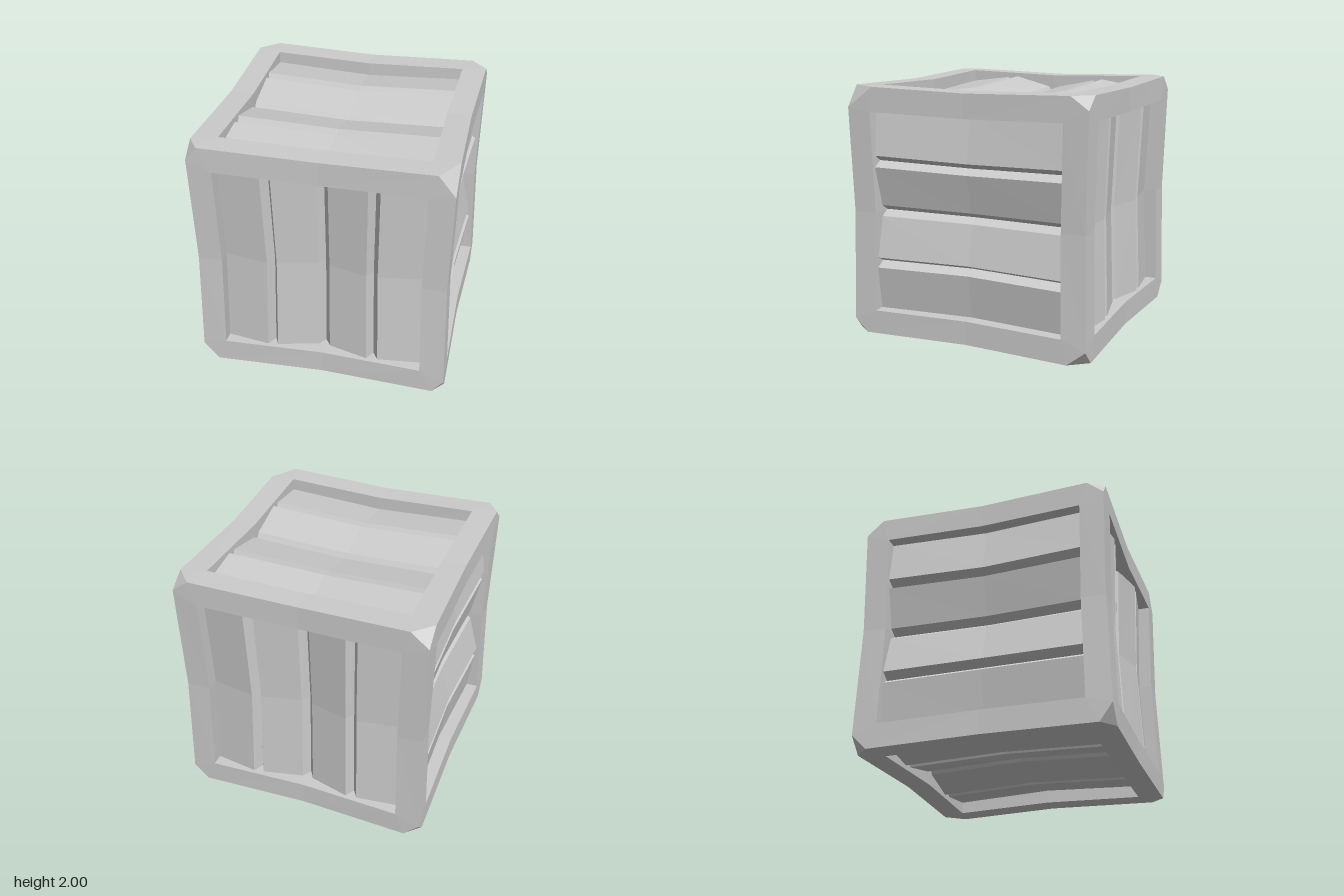
import * as THREE from 'three';

const material = new THREE.MeshStandardMaterial({ color: 0xcccccc, flatShading: true });
const RIM = 0.805, FLOOR = 0.76;

// Each side: outward axis n, across-plank axis u, along-plank axis v (u x v = n)
const SIDES = [
  { name: 'front', n: [0, 0, 1], u: [1, 0, 0], v: [0, 1, 0] },
  { name: 'back', n: [0, 0, -1], u: [-1, 0, 0], v: [0, 1, 0] },
  { name: 'left', n: [1, 0, 0], u: [0, 1, 0], v: [0, 0, 1] },
  { name: 'right', n: [-1, 0, 0], u: [0, -1, 0], v: [0, 0, 1] },
  { name: 'top', n: [0, 1, 0], u: [0, 0, 1], v: [1, 0, 0] },
  { name: 'bottom', n: [0, -1, 0], u: [1, 0, 0], v: [0, 0, 1] },
];

// Chipped corner sizes along x, y and z, keyed by corner signs
const CHIPS = {
  '1,1,1': [0.13, 0.165, 0.22], '-1,1,1': [0.09, 0.11, 0.13],
  '1,-1,1': [0.09, 0.11, 0.11], '-1,-1,1': [0.12, 0.14, 0.1],
  '1,1,-1': [0.13, 0.1, 0.14], '-1,1,-1': [0.14, 0.12, 0.14],
  '1,-1,-1': [0.12, 0.12, 0.15], '-1,-1,-1': [0.12, 0.12, 0.12],
};

// Plank cross-sections: [across, depth below the frame], bevels included
const PLANKS = [
  [[-0.83, 0.1], [-0.455, 0.04], [-0.41, 0.12]],
  [[-0.41, 0.12], [-0.375, 0.05], [-0.045, 0.12], [0, 0.19]],
  [[0, 0.19], [0.045, 0.12], [0.365, 0.04], [0.41, 0.12]],
  [[0.41, 0.12], [0.455, 0.05], [0.83, 0.1]],
];

const place = (s, a, b, c) => [0, 1, 2].map((i) => s.u[i] * a + s.v[i] * b + s.n[i] * c);

// The crate is pinched inwards halfway along every edge
const pinch = (p) => {
  const m = Math.min(...p.map(Math.abs));
  const k = 1 - 0.02 * (1 - Math.min(1, m / 0.8));
  return p.map((c) => c * k);
};

function makeMesh(name, polygons) {
  const pos = [];
  for (const p of polygons) {
    for (let i = 1; i < p.length - 1; i++) pos.push(...p[0], ...p[i], ...p[i + 1]);
  }
  const geometry = new THREE.BufferGeometry();
  geometry.setAttribute('position', new THREE.Float32BufferAttribute(pos, 3));
  geometry.computeVertexNormals();
  const mesh = new THREE.Mesh(geometry, material);
  mesh.name = name;
  return mesh;
}

// Point where a chip cuts the edge that leaves the corner along the given axis
function chipPoint(corner, axis) {
  const p = corner.slice();
  p[axis] *= 1 - CHIPS[corner.join(',')][axis];
  return p;
}

function makeFrame(s) {
  const polygons = [];
  const loop = [[-1, -1], [1, -1], [1, 1], [-1, 1]];
  const at = (a, b, c) => pinch(place(s, a, b, c));
  for (let i = 0; i < 4; i++) {
    const [p, q, r] = [0, 1, 2].map((k) => loop[(i + k) % 4]);
    const mid = [(p[0] + q[0]) / 2, (p[1] + q[1]) / 2];
    const [P, Q, R] = [p, q, r].map((c) => place(s, c[0], c[1], 1));
    const axis = P.findIndex((c, k) => c !== Q[k]);
    const nextAxis = Q.findIndex((c, k) => c !== R[k]);
    const a = chipPoint(P, axis), b = chipPoint(Q, axis), next = chipPoint(Q, nextAxis);
    const m = at(mid[0], mid[1], 1);
    const [rp, rm, rq] = [p, mid, q].map((c) => at(c[0] * RIM, c[1] * RIM, 1));
    const [fp, fm, fq] = [p, mid, q].map((c) => at(c[0] * RIM, c[1] * RIM, FLOOR));
    // Two halves of the beam, the corner piece and the inner walls
    polygons.push([a, m, rm, rp], [m, b, rq, rm], [b, next, rq]);
    polygons.push([rp, rm, fm, fp], [rm, rq, fq, fm]);
  }
  return makeMesh(s.name + 'Frame', polygons);
}

function makePlank(s, profile, index) {
  const polygons = [];
  // Planks sag inwards and bend towards the centre at mid-length
  const at = ([a, d], end) => {
    const bend = end === 0 ? 0.965 : 1;
    return place(s, a * bend, end * 0.82, 1 - d - (end === 0 ? 0.03 : 0));
  };
  for (let i = 0; i < profile.length - 1; i++) {
    for (const e of [-1, 0]) {
      polygons.push([
        at(profile[i], e), at(profile[i + 1], e),
        at(profile[i + 1], e + 1), at(profile[i], e + 1),
      ]);
    }
  }
  return makeMesh(s.name + 'Plank' + (index + 1), polygons);
}

// Small triangular cuts at the eight corners
function makeCornerChips() {
  const polygons = Object.keys(CHIPS).map((key) => {
    const corner = key.split(',').map(Number);
    const tri = [0, 1, 2].map((axis) => chipPoint(corner, axis));
    return corner[0] * corner[1] * corner[2] > 0 ? tri : tri.reverse();
  });
  return makeMesh('cornerChips', polygons);
}

export function createModel() {
  const group = new THREE.Group();
  group.name = 'crate';
  for (const s of SIDES) {
    const side = new THREE.Group();
    side.name = s.name + 'Side';
    side.add(makeFrame(s), ...PLANKS.map((p, i) => makePlank(s, p, i)));
    group.add(side);
  }
  group.add(makeCornerChips());
  group.children.forEach((c) => { c.position.y = 1; });
  return group;
}
